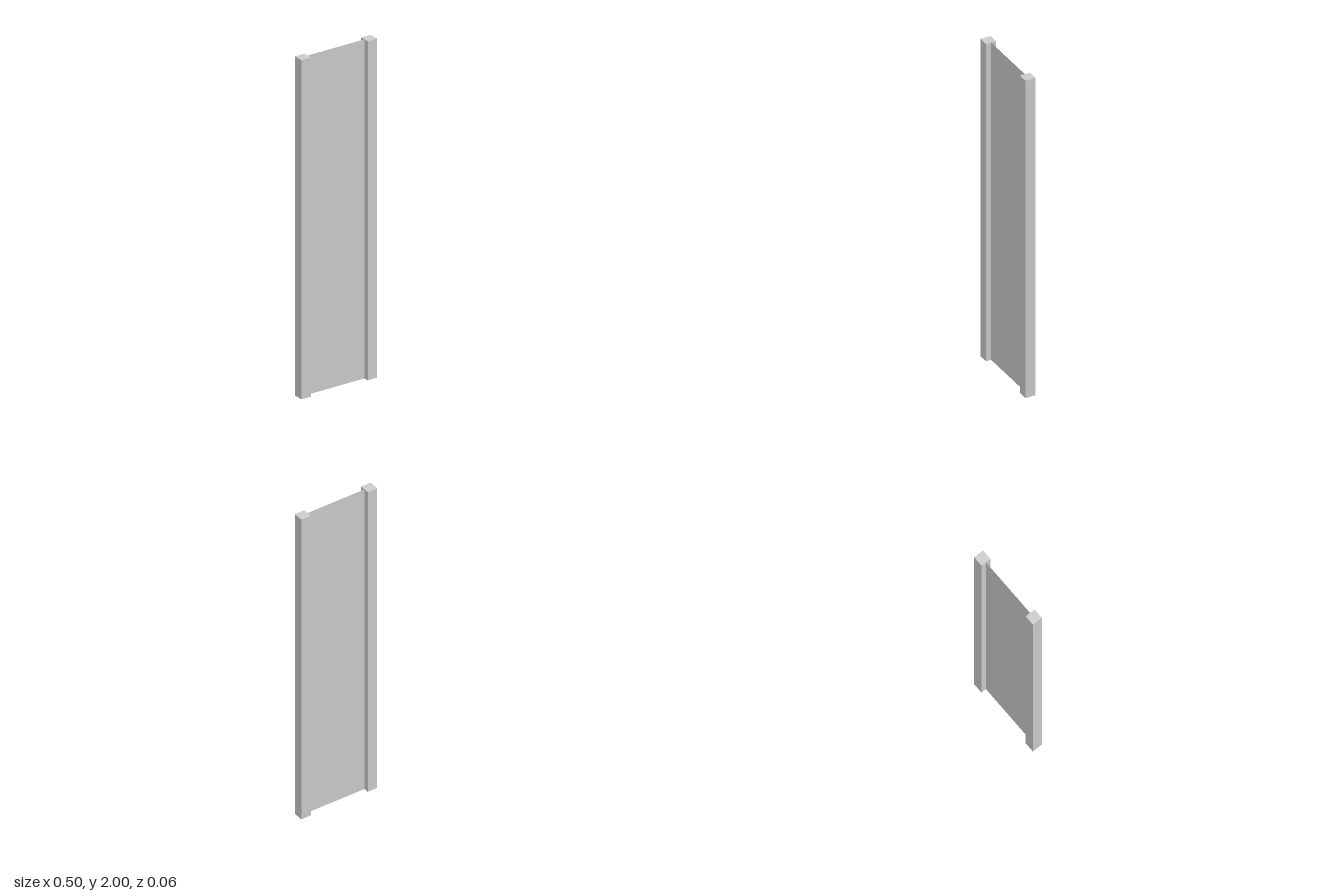
import * as THREE from 'three';

export function createModel() {
  const group = new THREE.Group();
  const height = 2, width = 0.5, post = 0.0625;
  const material = new THREE.MeshStandardMaterial({ color: 0xcccccc });
  const sheetMaterial = new THREE.MeshStandardMaterial({ color: 0xcccccc, side: THREE.DoubleSide });

  // Square posts along both edges
  for (const [name, side] of [['leftPost', 1], ['rightPost', -1]]) {
    const mesh = new THREE.Mesh(new THREE.BoxGeometry(post, height, post), material);
    mesh.name = name;
    mesh.position.set(side * (width - post) / 2, height / 2, 0);
    group.add(mesh);
  }

  // Thin sheet stretched between the posts
  const panel = new THREE.Mesh(new THREE.PlaneGeometry(width - 2 * post, height), sheetMaterial);
  panel.name = 'panel';
  panel.position.y = height / 2;
  group.add(panel);

  return group;
}
